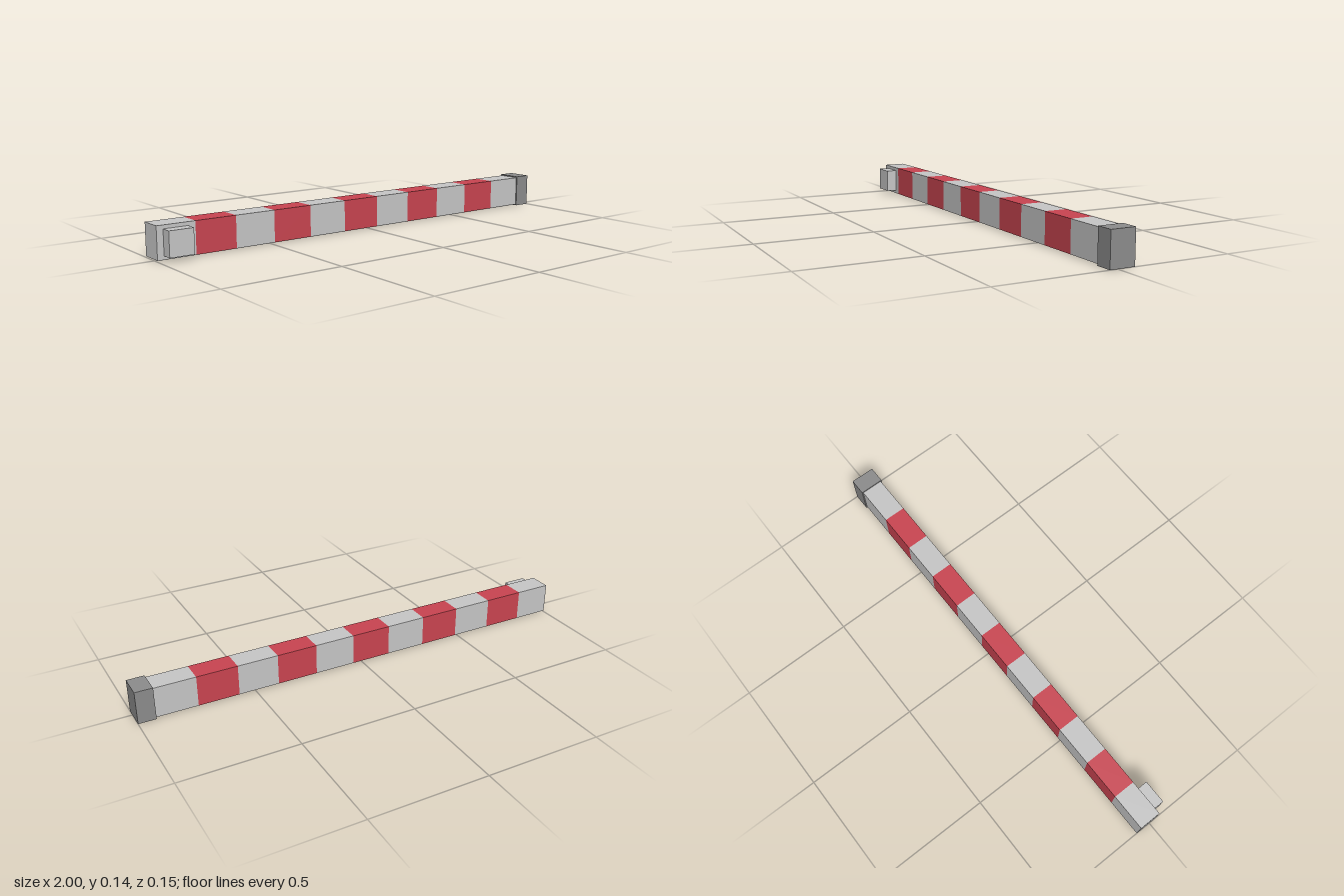
import * as THREE from 'three';

export function createModel() {
  const group = new THREE.Group();
  const material = (name, color) => {
    const m = new THREE.MeshStandardMaterial({ color });
    m.name = name;
    return m;
  };
  const lightGrey = material('light grey', 0xc5c5c5);
  const red = material('red', 0xc84450);
  const darkGrey = material('dark grey', 0x8b8b8b);

  // Box given by its lower and upper corners
  const block = (name, mat, [x0, y0, z0], [x1, y1, z1]) => {
    const mesh = new THREE.Mesh(new THREE.BoxGeometry(x1 - x0, y1 - y0, z1 - z0), mat);
    mesh.position.set((x0 + x1) / 2, (y0 + y1) / 2, (z0 + z1) / 2);
    mesh.name = name;
    group.add(mesh);
  };

  // Barrier beam: alternating bands, starting with a shorter light one
  const first = -0.839, step = 0.1764, bands = 11;
  for (let i = 0; i < bands; i++) {
    const x0 = i === 0 ? -1 : first + (i - 1) * step;
    const x1 = first + i * step;
    block(i % 2 ? 'redBand' : 'lightBand', i % 2 ? red : lightGrey,
      [x0, 0.005, -0.069], [x1, 0.138, 0.028]);
  }

  // Slightly larger cap on the free end
  block('endCap', darkGrey, [0.925, 0, -0.074], [1, 0.143, 0.033]);

  // Pivot mount on the front of the other end
  block('pivotMount', lightGrey, [-0.973, 0.02, 0.028], [-0.87, 0.123, 0.075]);

  return group;
}
